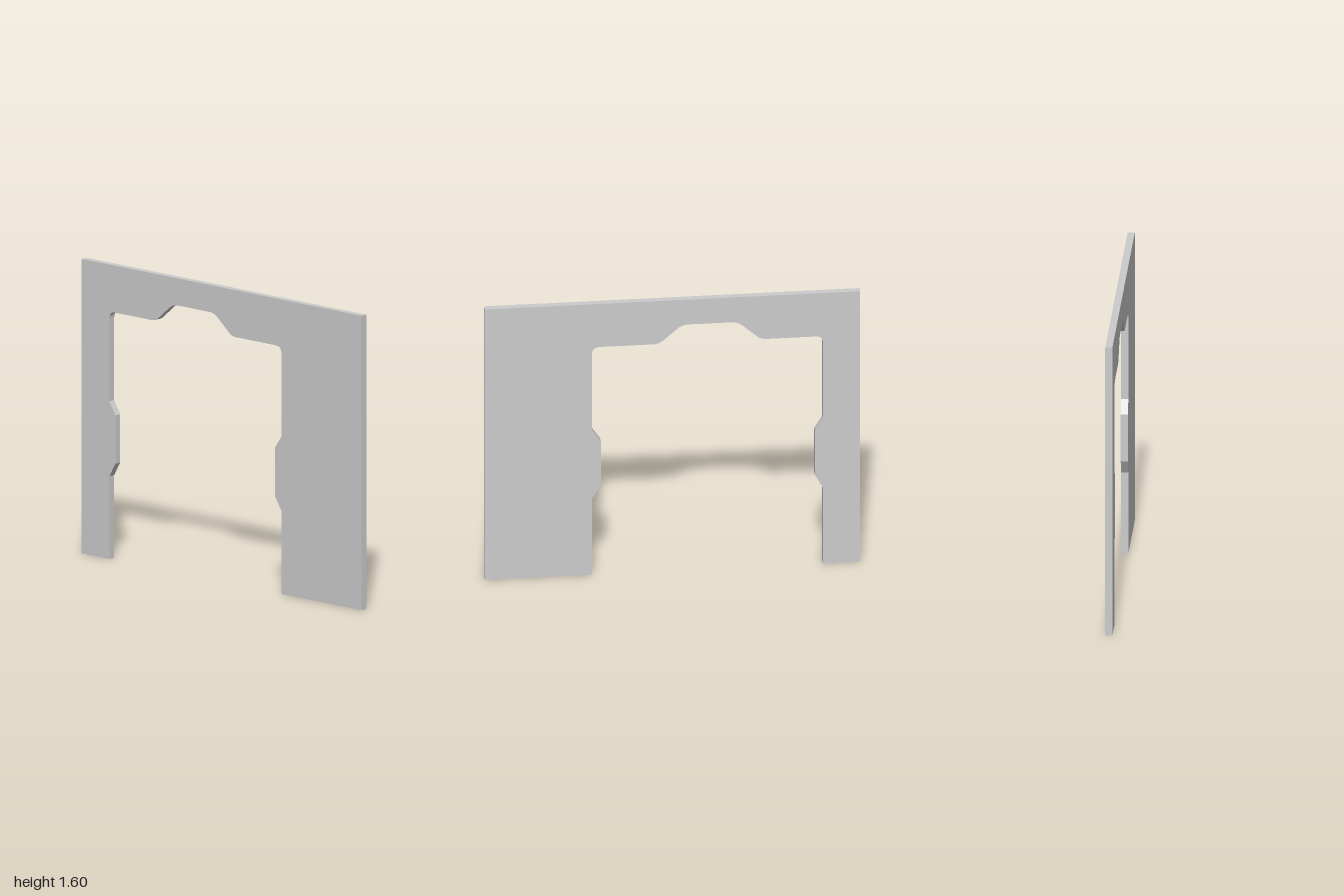
import * as THREE from 'three';

const HEIGHT = 1.6, DEPTH = 0.038;
const LEFT = 0.428, RIGHT = -0.802; // jamb faces of the opening
const ARCH = -0.2;                  // centre of the raised head

// Adds a corner [x, y, r]; r is how far the rounding reaches along each side
function addCorner(shape, prev, [x, y, r = 0], next) {
  if (!r) return shape.lineTo(x, y);
  const toward = (p) => {
    const d = Math.hypot(p[0] - x, p[1] - y);
    return [x + ((p[0] - x) * r) / d, y + ((p[1] - y) * r) / d];
  };
  shape.lineTo(...toward(prev));
  shape.quadraticCurveTo(x, y, ...toward(next));
}

// Jamb with a bevelled tab jutting into the opening, from the floor up
const jamb = (x, tabX) => [[x, 0], [x, 0.45], [tabX, 0.525], [tabX, 0.787], [x, 0.857], [x, 1.345, 0.04]];

// Half of the raised head, from the low soffit up to the high one
const head = (side) => [[ARCH + side * 0.272, 1.345, 0.03], [ARCH + side * 0.148, 1.453, 0.035]];

export function createModel() {
  const group = new THREE.Group();
  group.name = 'doorwayWall';

  // Outline: outer rectangle, then round the opening
  const points = [
    [1, 0], [1, HEIGHT], [-1, HEIGHT], [-1, 0],
    ...jamb(RIGHT, -0.759),
    ...head(-1), ...head(1).reverse(),
    ...jamb(LEFT, 0.381).reverse(),
  ];
  const shape = new THREE.Shape();
  shape.moveTo(points[0][0], points[0][1]);
  for (let i = 1; i < points.length; i++) {
    addCorner(shape, points[i - 1], points[i], points[(i + 1) % points.length]);
  }
  shape.closePath();

  // Thin wall panel, centred in depth
  const geometry = new THREE.ExtrudeGeometry(shape, { depth: DEPTH, bevelEnabled: false, curveSegments: 6 });
  geometry.translate(0, 0, -DEPTH / 2);
  const wall = new THREE.Mesh(geometry, new THREE.MeshStandardMaterial({ color: 0xcccccc }));
  wall.name = 'wallPanel';
  group.add(wall);
  return group;
}
